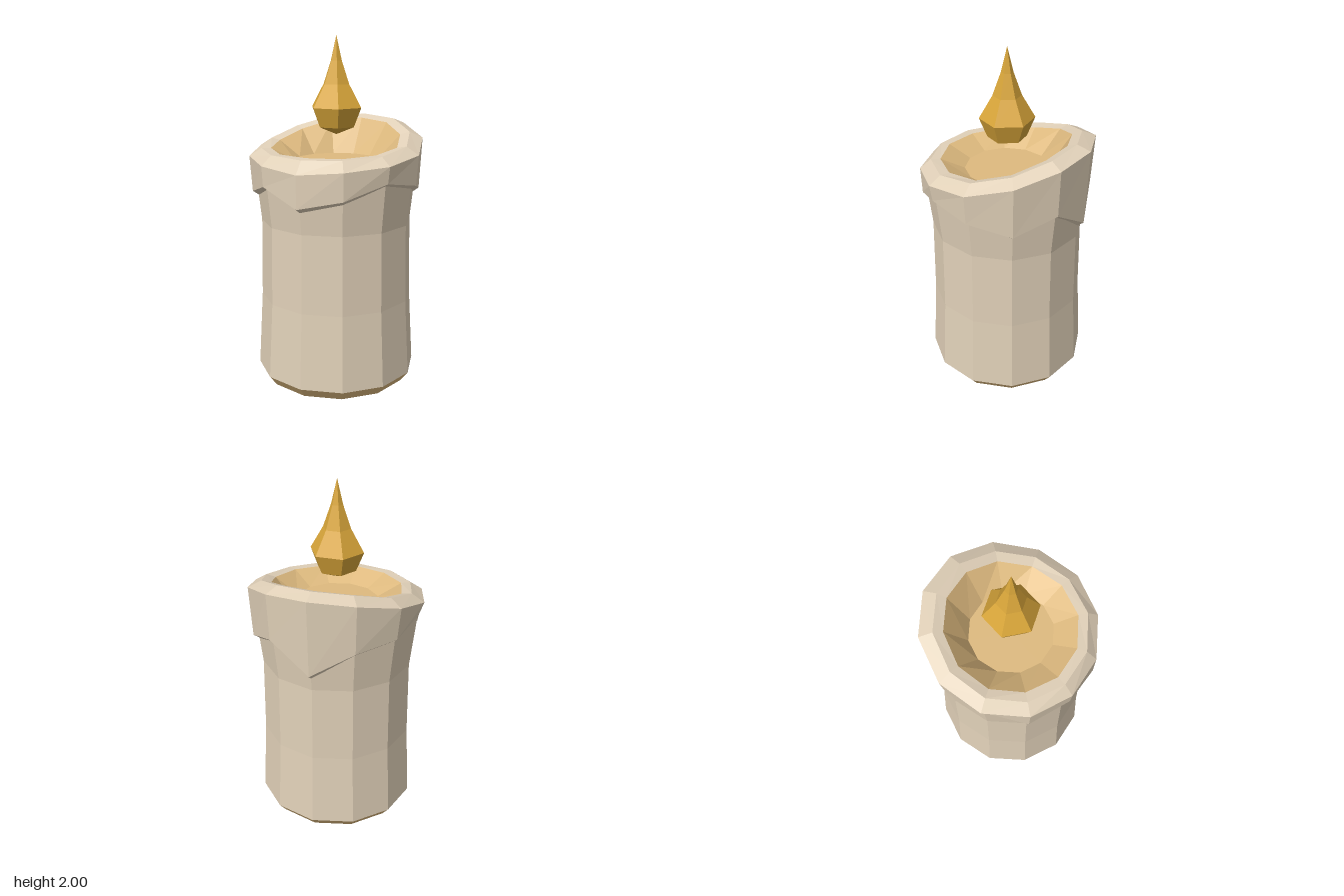
import * as THREE from 'three';

const SIDES = 12;
const at = (v, i) => (Array.isArray(v) ? v[i % v.length] : v);

// Joins rings of [radius, height]; either value may be a list with one entry per corner.
// Corner 0 faces the front, corner 3 faces +x.
function loft(rings, sides = SIDES, turn = 0) {
  const point = ([r, y], i) => {
    const a = (i / sides) * Math.PI * 2 + turn;
    return [at(r, i) * Math.sin(a), at(y, i), at(r, i) * Math.cos(a)];
  };
  const pos = [];
  for (let k = 0; k + 1 < rings.length; k++) {
    const [low, high] = [rings[k], rings[k + 1]];
    for (let i = 0; i < sides; i++) {
      const j = i + 1;
      if (low[0] !== 0) pos.push(...point(low, i), ...point(low, j), ...point(high, j));
      if (high[0] !== 0) pos.push(...point(low, i), ...point(high, j), ...point(high, i));
    }
  }
  const geometry = new THREE.BufferGeometry();
  geometry.setAttribute('position', new THREE.Float32BufferAttribute(pos, 3));
  geometry.computeVertexNormals();
  return geometry;
}

// Front-to-back heights mirrored around the ring
const mirrored = (h) => [...h, ...h.slice(1, 6).reverse()];

export function createModel() {
  const material = (name, color) => {
    const m = new THREE.MeshStandardMaterial({ color, flatShading: true });
    m.name = name;
    return m;
  };
  const wax = material('cream wax', 0xe0d0b8);
  const meltedWax = material('tan wax', 0xdeba7f);
  const fire = material('flame gold', 0xd9a63a);

  const group = new THREE.Group();
  group.name = 'candle';
  const add = (name, geometry, mat) => {
    const mesh = new THREE.Mesh(geometry, mat);
    mesh.name = name;
    group.add(mesh);
  };

  // Bevelled foot and gently waisted column
  add('base', loft([[0, 0], [0.42, 0], [0.467, 0.06]]), meltedWax);
  add('body', loft([[0.467, 0.06], [0.442, 0.5], [0.435, 0.95], [0.47, 1.27]]), wax);

  // Slanted rim with a dripping lower edge
  const dripY = [1.1, 1.15, 1.23, 1.185, 1.125, 1.21, 1.055, 1.2, 1.23, 1.275, 1.12, 1.19];
  const dripR = [0.49, 0.485, 0.485, 0.49, 0.485, 0.485, 0.477, 0.48, 0.48, 0.475, 0.485, 0.485];
  const outerY = mirrored([1.285, 1.305, 1.325, 1.355, 1.42, 1.48, 1.5]);
  const crestY = mirrored([1.355, 1.36, 1.37, 1.4, 1.455, 1.51, 1.525]);
  const innerY = mirrored([1.36, 1.36, 1.37, 1.39, 1.44, 1.49, 1.505]);
  const crestR = mirrored([0.43, 0.43, 0.43, 0.43, 0.425, 0.418, 0.415]);
  const innerR = mirrored([0.375, 0.375, 0.375, 0.374, 0.37, 0.363, 0.36]);
  add('rim', loft([
    [0.44, dripY.map((y) => y - 0.03)],
    [dripR, dripY],
    [mirrored([0.49, 0.492, 0.5, 0.503, 0.502, 0.497, 0.495]), outerY],
    [crestR, crestY],
    [innerR, innerY],
  ]), wax);

  // Sunken melted pool
  add('meltedPool', loft([[innerR, innerY], [0.24, 1.3], [0, 1.3]]), meltedWax);

  // Six-sided teardrop flame
  add('flame', loft([
    [0, 1.445], [0.11, 1.49], [0.155, 1.6], [0.08, 1.73], [0.034, 1.86], [0, 2],
  ], 6, Math.PI / 6), fire);

  return group;
}
